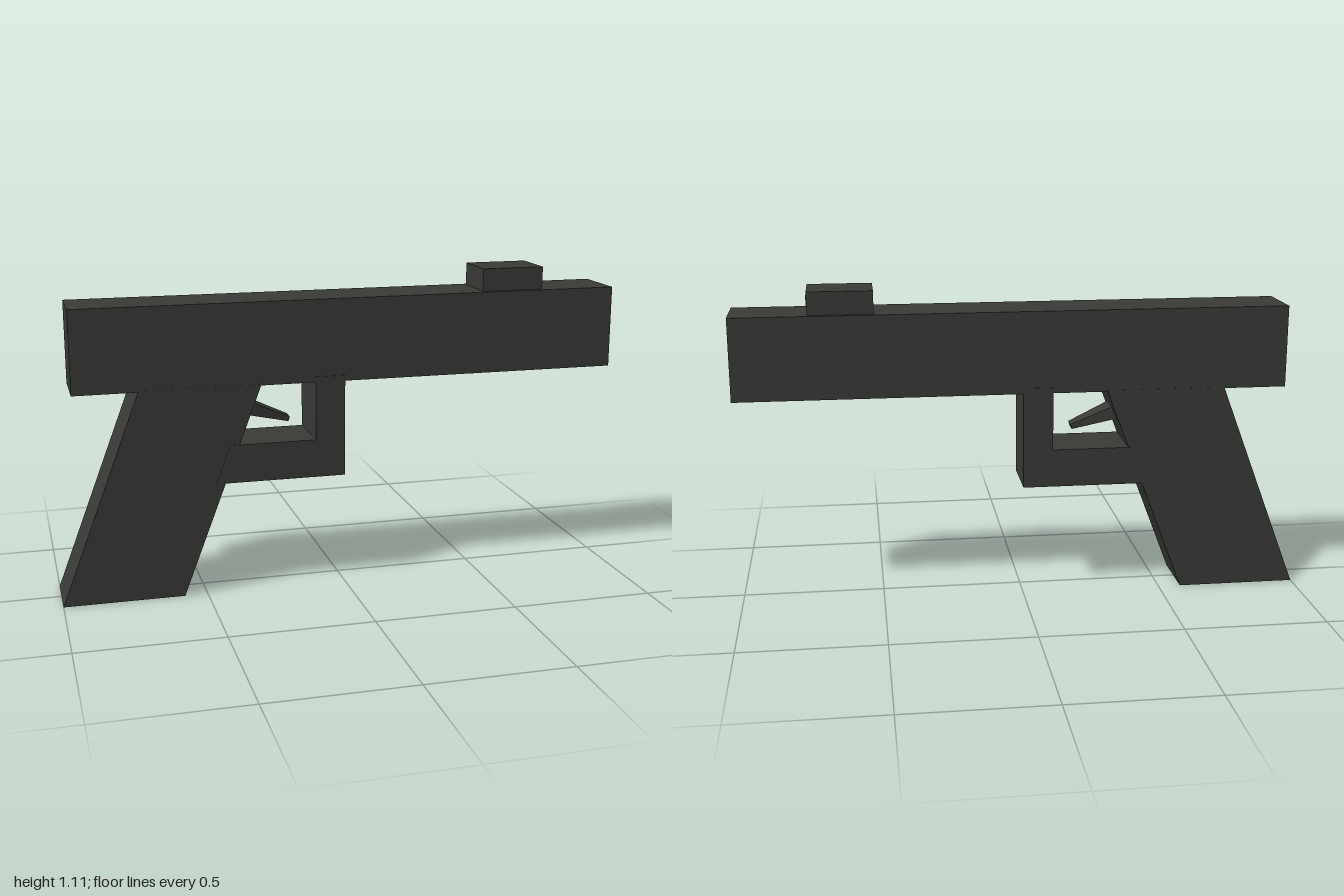
import * as THREE from 'three';

const paint = (color) => new THREE.MeshStandardMaterial({ color });

export function createModel() {
  const model = new THREE.Group();
  const dark = paint(0x3a3b37), green = paint(0x44cc11), yellow = paint(0xccc411);

  const add = (name, geometry, material = dark) => {
    const mesh = new THREE.Mesh(geometry, material);
    mesh.name = name;
    model.add(mesh);
    return mesh;
  };
  // Box given by its x and y limits and its half width in z
  const box = (name, x0, x1, y0, y1, halfZ, material) => {
    const mesh = add(name, new THREE.BoxGeometry(x1 - x0, y1 - y0, 2 * halfZ), material);
    mesh.position.set((x0 + x1) / 2, (y0 + y1) / 2, 0);
    return mesh;
  };
  const outline = (points) => new THREE.Shape(points.map(([x, y]) => new THREE.Vector2(x, y)));
  // Side profile extruded evenly about z = 0
  const slab = (points, halfZ) =>
    new THREE.ExtrudeGeometry(outline(points), { depth: 2 * halfZ, bevelEnabled: false })
      .translate(0, 0, -halfZ);

  // Slide, with a cross-shaped muzzle recess in its front end
  const muzzleX = 0.88;
  box('slide', -0.94, muzzleX, 0.74, 1.03, 0.105);
  const face = outline([[-0.105, 0.74], [0.105, 0.74], [0.105, 1.03], [-0.105, 1.03]]);
  const a = 0.027, b = 0.054, lo = 0.81, midLo = 0.846, midHi = 0.92, hi = 0.958;
  face.holes.push(outline([
    [-a, lo], [-a, midLo], [-b, midLo], [-b, midHi], [-a, midHi], [-a, hi],
    [a, hi], [a, midHi], [b, midHi], [b, midLo], [a, midLo], [a, lo],
  ]));
  add('muzzle', new THREE.ExtrudeGeometry(face, { depth: 1 - muzzleX, bevelEnabled: false })
    .rotateY(Math.PI / 2).translate(muzzleX, 0, 0));
  box('boreCore', muzzleX - 0.01, muzzleX + 0.004, midLo, midHi, a, yellow);

  // Sight with its coloured window
  box('sight', 0.51, 0.735, 1.02, 1.11, 0.087);
  box('sightWindow', 0.72, 0.738, 1.05, 1.09, 0.045, green);

  // Raked grip
  add('grip', slab([[-1, 0], [-0.58, 0], [-0.296, 0.745], [-0.717, 0.745]], 0.106));

  // L-shaped trigger guard
  add('triggerGuard', slab([
    [-0.46, 0.4], [0, 0.4], [0, 0.76], [-0.105, 0.76], [-0.105, 0.535], [-0.41, 0.535],
  ], 0.108));

  // Trigger, narrowing towards its tip
  const trigger = slab([[-0.36, 0.63], [-0.185, 0.587], [-0.18, 0.604], [-0.36, 0.685]], 0.05);
  const p = trigger.attributes.position;
  for (let i = 0; i < p.count; i++) if (p.getX(i) > -0.25) p.setZ(i, p.getZ(i) * 0.5);
  trigger.computeVertexNormals();
  add('trigger', trigger);

  return model;
}
